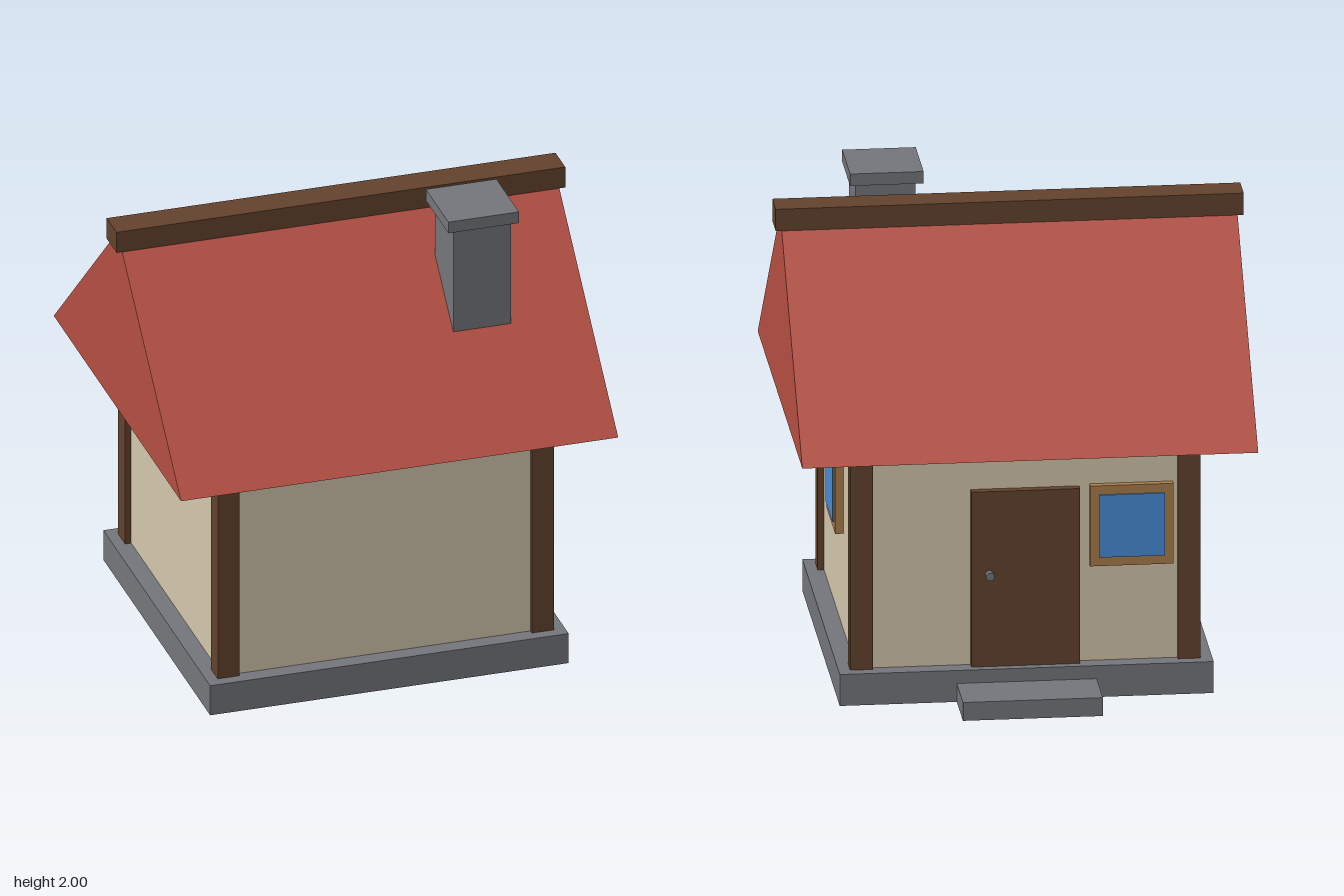
import * as THREE from 'three';

const material = (name, color) => new THREE.MeshStandardMaterial({ name, color });

export function createModel() {
  const stone = material('grey stone', 0x75777c);
  const plaster = material('cream plaster', 0xd4c7ac);
  const timber = material('dark timber', 0x64432d);
  const trim = material('light wood trim', 0xaa7e4d);
  const glass = material('blue glass', 0x4a8dd8);
  const tile = material('red roof', 0xb64f43);

  const model = new THREE.Group();
  model.name = 'cottage';

  // The house body is centred slightly forward so the step stays in bounds
  const house = new THREE.Group();
  house.name = 'house';
  house.position.z = 0.05;
  model.add(house);

  // Box given by its minimum and maximum on each axis
  function box(name, mat, [x0, x1], [y0, y1], [z0, z1], parent = house) {
    const mesh = new THREE.Mesh(new THREE.BoxGeometry(x1 - x0, y1 - y0, z1 - z0), mat);
    mesh.position.set((x0 + x1) / 2, (y0 + y1) / 2, (z0 + z1) / 2);
    mesh.name = name;
    parent.add(mesh);
    return mesh;
  }

  // Base, doorstep and walls
  box('foundation', stone, [-0.775, 0.775], [0, 0.137], [-0.73, 0.73]);
  box('doorStep', stone, [-0.29, 0.29], [0, 0.08], [-0.97, -0.73]);
  box('walls', plaster, [-0.7, 0.7], [0.137, 1.09], [-0.66, 0.66]);

  // Corner posts and the wall beams under the eaves
  for (const sz of [-1, 1]) {
    for (const sx of [-1, 1]) {
      const post = box('cornerPost', timber, [-0.0475, 0.0475], [0.137, 1.09], [-0.0475, 0.0475]);
      post.position.x = sx * 0.679;
      post.position.z = sz * 0.633;
    }
    const beam = box('eavesBeam', timber, [-0.727, 0.727], [1.08, 1.13], [-0.06, 0.06]);
    beam.position.z = sz * 0.66;
  }

  // Solid gable roof with a ridge beam
  const gable = new THREE.Shape([
    new THREE.Vector2(-0.87, 1.09),
    new THREE.Vector2(0.87, 1.09),
    new THREE.Vector2(0, 1.91),
  ]);
  const roofGeometry = new THREE.ExtrudeGeometry(gable, { depth: 1.89, bevelEnabled: false });
  roofGeometry.translate(0, 0, -0.945).rotateY(Math.PI / 2);
  const roof = new THREE.Mesh(roofGeometry, tile);
  roof.name = 'roof';
  house.add(roof);
  box('ridgeBeam', timber, [-0.97, 0.97], [1.85, 1.945], [-0.067, 0.067]);

  // Chimney on the front slope
  box('chimney', stone, [0.36, 0.61], [1.35, 1.95], [0.215, 0.465]);
  box('chimneyCap', stone, [0.33, 0.635], [1.948, 2], [0.185, 0.493]);

  // Door and knob on the back wall
  box('door', timber, [-0.225, 0.225], [0.137, 0.9], [-0.695, -0.65]);
  const knob = new THREE.Mesh(new THREE.CylinderGeometry(0.018, 0.018, 0.03, 16), stone);
  knob.name = 'doorKnob';
  knob.rotation.x = Math.PI / 2;
  knob.position.set(0.15, 0.538, -0.71);
  house.add(knob);

  // Windows, built facing +z and then turned to their wall
  function addWindow(name, x, z, angle) {
    const group = new THREE.Group();
    group.name = name;
    box('windowFrame', trim, [-0.173, 0.173], [-0.175, 0.175], [-0.01, 0.035], group);
    box('windowPane', glass, [-0.136, 0.136], [-0.136, 0.136], [0.034, 0.042], group);
    group.position.set(x, 0.732, z);
    group.rotation.y = angle;
    house.add(group);
  }
  addWindow('sideWindow', 0.7, 0, Math.PI / 2);
  addWindow('backWindow', -0.44, -0.655, Math.PI);

  return model;
}
